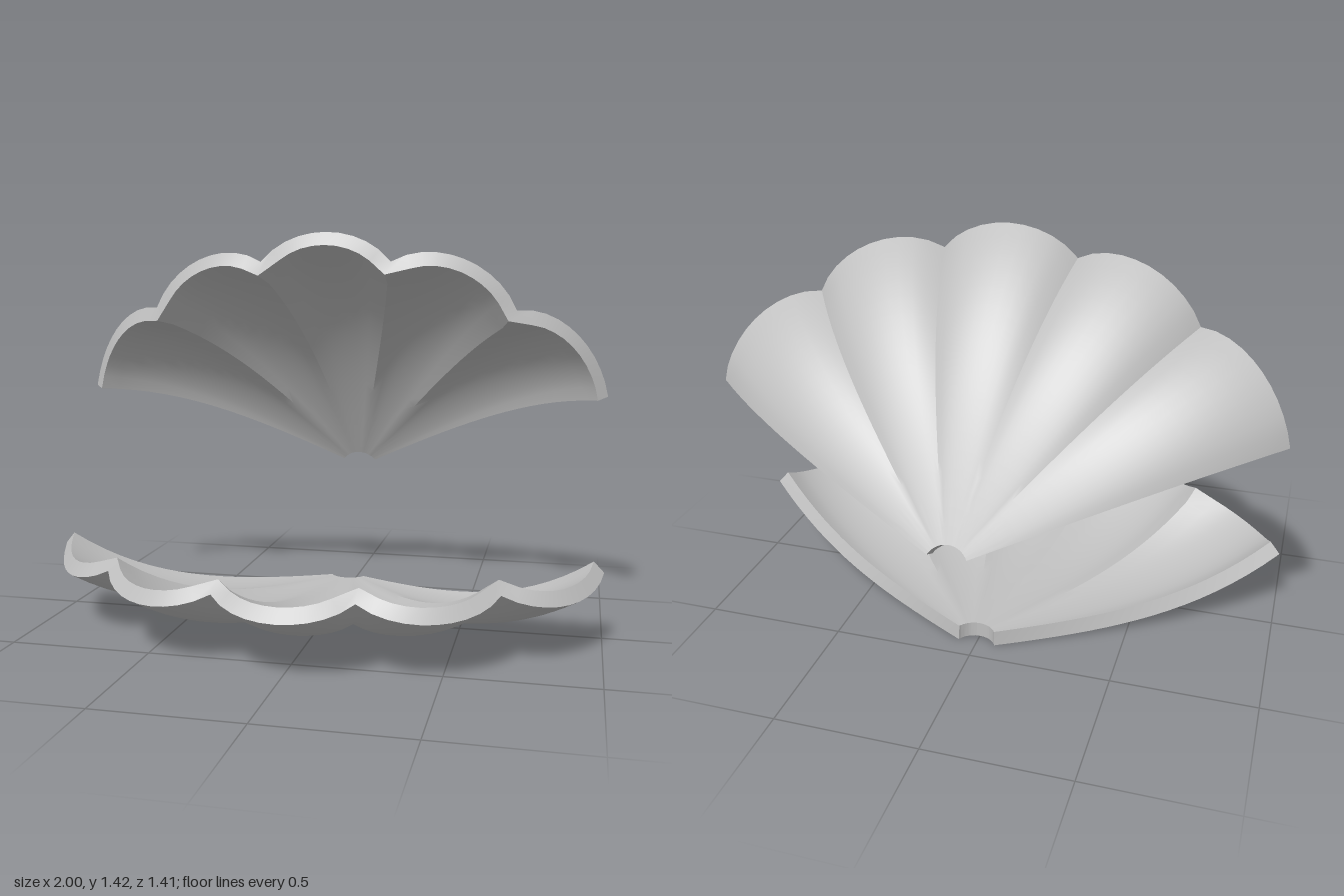
import * as THREE from 'three';
import { toCreasedNormals } from 'three/addons/utils/BufferGeometryUtils.js';

const LOBES = 5, PER_LOBE = 10, ROWS = 18;
const SPAN = THREE.MathUtils.degToRad(125);
const THICKNESS = 0.055;
const HINGE_RADIUS = 0.075;

// Scalloped half shell: hinge at the local origin, fanning out towards +z, hollow side up
function shellGeometry() {
  const cols = LOBES * PER_LOBE, w = cols + 1;
  const pos = [], index = [];

  // Outer skin
  for (let i = 0; i <= ROWS; i++) {
    for (let j = 0; j <= cols; j++) {
      const a = (j / cols - 0.5) * SPAN;
      const u = ((j % PER_LOBE) / PER_LOBE) * 2 - 1; // -1..1 across one lobe
      const groove = (1 - Math.sqrt(1 - 0.6 * u * u)) / (1 - Math.sqrt(0.4));
      const side = (2 * a / SPAN) ** 2;
      const rim = 1.16 - (0.065 - 0.032 * side) * groove;
      const r = THREE.MathUtils.lerp(HINGE_RADIUS, rim, i / ROWS);
      const t = r / rim;
      const y = 0.2 * t ** 3.6 + 0.055 * groove * t ** 1.8;
      pos.push(r * Math.sin(a), y, r * Math.cos(a) - 0.035);
    }
  }
  for (let i = 0; i < ROWS; i++) {
    for (let j = 0; j < cols; j++) {
      const p = i * w + j;
      index.push(p, p + 1, p + w, p + 1, p + w + 1, p + w);
    }
  }
  const skin = new THREE.BufferGeometry();
  skin.setAttribute('position', new THREE.Float32BufferAttribute(pos, 3));
  skin.setIndex(index);
  skin.computeVertexNormals();

  // Inner skin, offset along the normals
  const n = skin.attributes.normal.array, count = pos.length / 3;
  const all = pos.concat(pos.map((v, k) => v - n[k] * THICKNESS));
  const faces = index.slice();
  for (let k = 0; k < index.length; k += 3) {
    faces.push(index[k] + count, index[k + 2] + count, index[k + 1] + count);
  }

  // Edge wall around hinge, sides and rim
  const loop = [];
  for (let j = 0; j < cols; j++) loop.push(j);
  for (let i = 0; i < ROWS; i++) loop.push(i * w + cols);
  for (let j = cols; j > 0; j--) loop.push(ROWS * w + j);
  for (let i = ROWS; i > 0; i--) loop.push(i * w);
  loop.forEach((p, k) => {
    const q = loop[(k + 1) % loop.length];
    faces.push(q, p, p + count, q, p + count, q + count);
  });

  const solid = new THREE.BufferGeometry();
  solid.setAttribute('position', new THREE.Float32BufferAttribute(all, 3));
  solid.setIndex(faces);
  return toCreasedNormals(solid, 0.4);
}

export function createModel() {
  const group = new THREE.Group();
  group.name = 'openClamShell';
  const shellGrey = new THREE.MeshStandardMaterial({ color: 0xc0c0c0 });
  shellGrey.name = 'shellGrey';
  const geometry = shellGeometry();

  // Lower half lies on the ground
  const lower = new THREE.Mesh(geometry, shellGrey);
  lower.name = 'lowerShell';
  lower.position.set(0, 0, -0.42);

  // Upper half is turned over and tilted open
  const upper = new THREE.Mesh(geometry, shellGrey);
  upper.name = 'upperShell';
  upper.rotation.set(THREE.MathUtils.degToRad(-62.1), 0, Math.PI);
  upper.position.set(0, 0.52, -0.705);

  group.add(lower, upper);
  return group;
}
